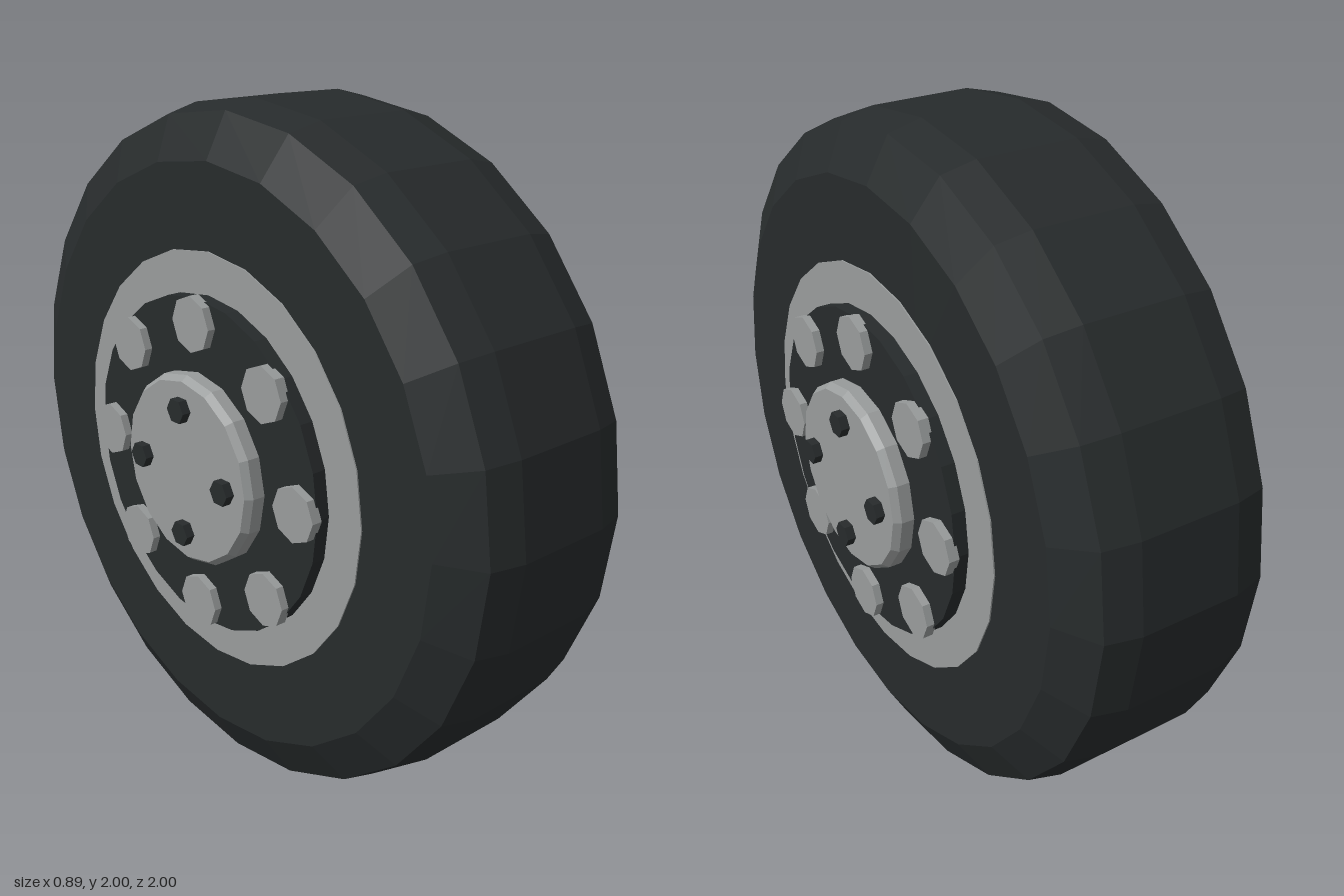
import * as THREE from 'three';

const material = (color) => new THREE.MeshStandardMaterial({ color, flatShading: true });

export function createModel() {
  const wheel = new THREE.Group();
  wheel.name = 'wheel';
  const rubber = material(0x272b2c);
  const metal = material(0x999c9c);

  const add = (parent, name, geometry, mat) => {
    const mesh = new THREE.Mesh(geometry, mat);
    mesh.name = name;
    parent.add(mesh);
    return mesh;
  };
  // Solids of revolution around the x axle; points are [radius, x]
  const turned = (points, sides) =>
    new THREE.LatheGeometry(points.map(([r, x]) => new THREE.Vector2(r, x)), sides).rotateZ(-Math.PI / 2);
  const disc = (r, from, to, sides) =>
    turned([[0, from], [r, from], [r, to], [0, to]], sides);

  // Tyre with chamfered shoulders
  const half = [[0.15, 1], [0.25, 0.975], [0.317, 0.85], [0.317, 0.48]];
  const profile = [
    ...half.slice().reverse().map(([x, r]) => [r, -x]),
    ...half.map(([x, r]) => [r, x]),
  ];
  add(wheel, 'tyre', turned(profile, 24), rubber);

  // Dark plate running through the wheel
  add(wheel, 'wheelPlate', disc(0.49, -0.362, 0.362, 24), rubber);

  // Identical outer and inner faces
  for (const [name, turn] of [['leftFace', 0], ['rightFace', Math.PI]]) {
    const face = new THREE.Group();
    face.name = name;
    face.rotation.y = turn;
    wheel.add(face);

    add(face, 'rimRing', turned([[0.48, 0.31], [0.61, 0.31], [0.61, 0.321], [0.48, 0.321]], 24), metal);
    add(face, 'hubCap', turned([[0, 0.35], [0.28, 0.35], [0.28, 0.4], [0.265, 0.42], [0, 0.42]], 16), metal);

    // Octagonal bolts around the plate
    const bolt = disc(0.08, 0.355, 0.386, 8);
    for (let i = 0; i < 8; i++) {
      const a = (i * Math.PI) / 4;
      add(face, 'bolt', bolt, metal).position.set(0, 0.42 * Math.cos(a), 0.42 * Math.sin(a));
    }

    // Hexagonal studs on the hub cap
    const stud = disc(0.037, 0.41, 0.446, 6);
    for (let i = 0; i < 4; i++) {
      const a = (i * Math.PI) / 2;
      add(face, 'stud', stud, rubber).position.set(0, 0.185 * Math.cos(a), 0.185 * Math.sin(a));
    }
  }

  // Stand the wheel on the ground
  wheel.children.forEach((part) => { part.position.y = 1; });
  return wheel;
}
